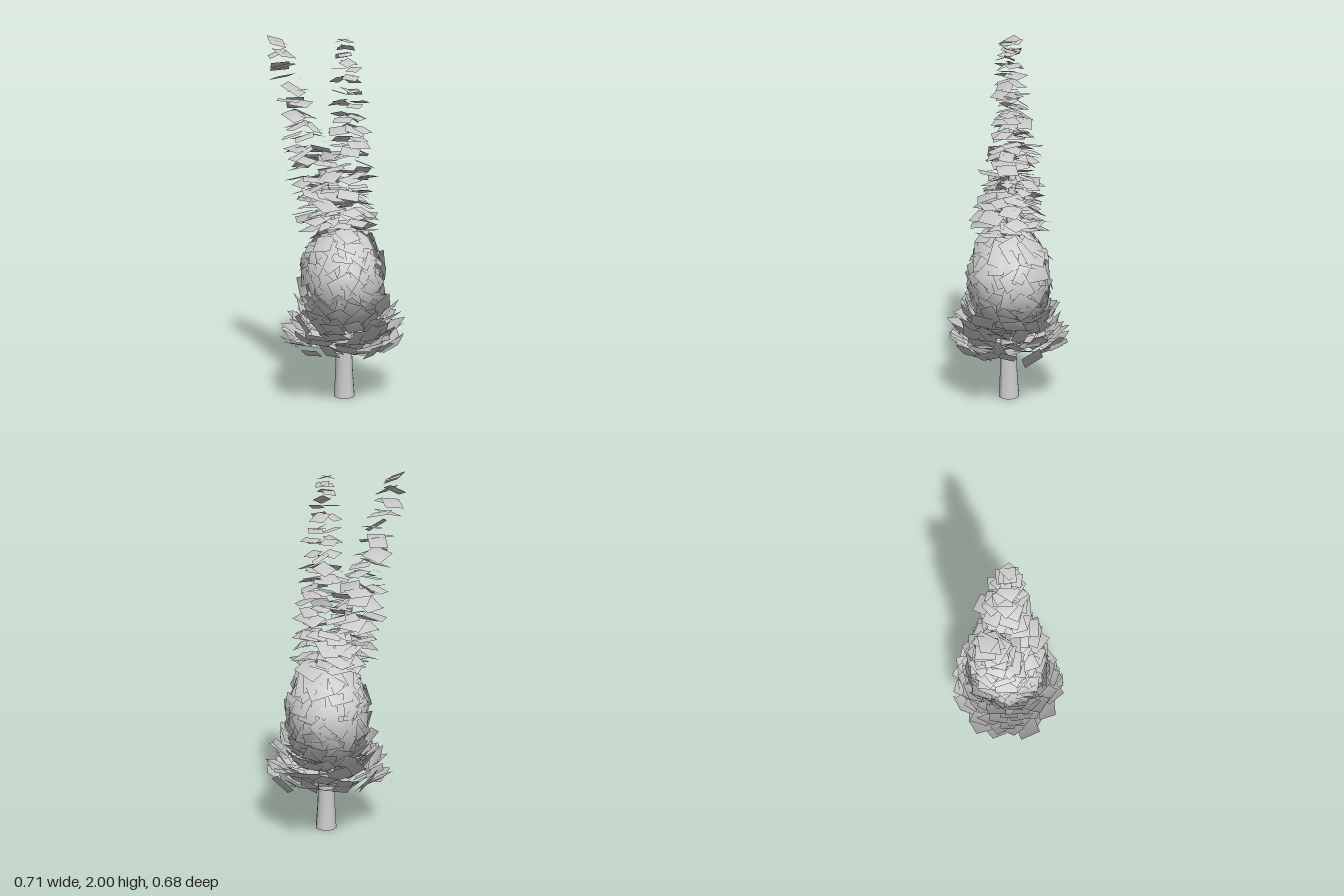
import * as THREE from 'three';
import { mergeGeometries } from 'three/addons/utils/BufferGeometryUtils.js';

const V = (x, y, z) => new THREE.Vector3(x, y, z);

export function createModel() {
  const tree = new THREE.Group();
  const bark = new THREE.MeshStandardMaterial({ color: 0xcccccc });
  const leaf = new THREE.MeshStandardMaterial({ color: 0xcccccc, side: THREE.DoubleSide });

  // Seeded random numbers
  let seed = 7;
  const rand = (a = 0, b = 1) => {
    seed = (seed * 16807) % 2147483647;
    return a + (b - a) * (seed / 2147483647);
  };

  // Tapered limb: a cylinder whose rings follow a curve and a list of radii
  function addLimb(name, points, radii) {
    const curve = new THREE.CatmullRomCurve3(points);
    const geo = new THREE.CylinderGeometry(1, 1, 1, 12, 20);
    const pos = geo.attributes.position;
    for (let i = 0; i < pos.count; i++) {
      const t = THREE.MathUtils.clamp(pos.getY(i) + 0.5, 0, 1);
      const f = t * (radii.length - 1), k = Math.min(Math.floor(f), radii.length - 2);
      const r = THREE.MathUtils.lerp(radii[k], radii[k + 1], f - k);
      const c = curve.getPoint(t);
      pos.setXYZ(i, c.x + pos.getX(i) * r, c.y, c.z + pos.getZ(i) * r);
    }
    geo.computeVertexNormals();
    const mesh = new THREE.Mesh(geo, bark);
    mesh.name = name;
    tree.add(mesh);
  }

  addLimb('trunk',
    [V(0, 0, 0), V(-0.005, 0.3, 0), V(-0.01, 0.6, -0.01), V(-0.035, 0.9, -0.05), V(-0.075, 1.28, -0.1)],
    [0.06, 0.05, 0.047, 0.044, 0.04, 0.036, 0.032, 0.027, 0.02]);

  // Square leaf card: "face" is the way it lies, its smooth normals spread from "shadeFrom"
  function card(center, face, size, shadeFrom) {
    const geo = new THREE.PlaneGeometry(size, size * rand(0.8, 1));
    const q = new THREE.Quaternion().setFromUnitVectors(V(0, 0, 1), face.clone().normalize());
    geo.rotateZ(rand(0, Math.PI * 2)).applyQuaternion(q).translate(center.x, center.y, center.z);
    const { position, normal } = geo.attributes;
    for (let i = 0; i < 4; i++) {
      const n = V().fromBufferAttribute(position, i).sub(shadeFrom).normalize();
      normal.setXYZ(i, n.x, n.y, n.z);
    }
    return geo;
  }
  function addFoliage(name, cards) {
    const mesh = new THREE.Mesh(mergeGeometries(cards), leaf);
    mesh.name = name;
    tree.add(mesh);
  }
  const jitter = (s) => V(rand(-s, s), rand(-s, s), rand(-s, s));

  // Ring of cards that rise outward like part of a bowl (tilt in degrees)
  function bowlRing(cards, count, y, radius, tiltMin, tiltMax) {
    for (let i = 0; i < count; i++) {
      const a = (i + rand(0, 0.8)) / count * Math.PI * 2 + y * 20;
      const tilt = THREE.MathUtils.degToRad(rand(tiltMin, tiltMax));
      const out = V(Math.cos(a), 0, Math.sin(a));
      const face = out.clone().multiplyScalar(-Math.sin(tilt)).add(V(0, Math.cos(tilt), 0)).add(jitter(0.25));
      const c = out.multiplyScalar(radius * rand(0.86, 1.08)).add(V(0, y + rand(-0.03, 0.025), 0));
      cards.push(card(c, face, rand(0.09, 0.13), V(0, 0.72, 0)));
    }
  }

  // Lower skirt: steepening outer rings, closed underneath by flatter inner rings
  const skirt = [];
  for (let ring = 0; ring < 7; ring++) {
    const u = ring / 6;
    bowlRing(skirt, 20 - ring, 0.33 + 0.24 * u, 0.29 - 0.08 * u, 18 + 25 * u, 48 + 25 * u);
  }
  bowlRing(skirt, 7, 0.31, 0.09, 5, 30);
  bowlRing(skirt, 10, 0.325, 0.15, 5, 35);
  bowlRing(skirt, 13, 0.34, 0.21, 10, 40);
  addFoliage('lowerFoliage', skirt);

  // Middle crown: loose cards lying on a broad-shouldered shell that reaches down into the skirt
  const crown = [];
  const N = 170;
  for (let i = 0; i < N; i++) {
    const h = 0.95 - 1.8 * (i / N), a = i * 2.39996;
    const s = Math.pow(1 - h * h, 0.4);
    const dir = V(Math.cos(a) * s, h, Math.sin(a) * s);
    const k = rand(0.88, 1.03);
    const c = V(dir.x * 0.215 * k, 0.68 + dir.y * (h > 0 ? 0.27 : 0.32) * k, dir.z * 0.22 * k - 0.01);
    const face = V(dir.x, dir.y * 0.8, dir.z).add(jitter(0.4));
    crown.push(card(c, face, rand(0.1, 0.14), V(0, 0.66, 0)));
  }
  addFoliage('middleFoliage', crown);

  // Spires: loose rings of gently tilted cards, thinning towards the tip
  function spire(name, points, radii, sizes, layers, density) {
    const curve = new THREE.CatmullRomCurve3(points);
    const cards = [];
    for (let l = 0; l < layers; l++) {
      const t = l / (layers - 1);
      const r = THREE.MathUtils.lerp(radii[0], radii[1], t);
      const axis = curve.getPoint(t);
      const count = Math.max(2, Math.round(density * (1 - t)));
      for (let i = 0; i < count; i++) {
        const a = (i + rand(0, 0.7)) / count * Math.PI * 2 + l * 2.4;
        const out = V(Math.cos(a), 0, Math.sin(a));
        const face = out.clone().multiplyScalar(0.16).add(V(0, 1, 0)).add(jitter(0.36));
        const c = axis.clone().addScaledVector(out, r * rand(0.6, 1.05));
        c.y += rand(-0.035, 0.035) * (1 - t);
        cards.push(card(c, face, THREE.MathUtils.lerp(sizes[0], sizes[1], t) * rand(0.85, 1.1),
          V(axis.x, axis.y - 0.3, axis.z)));
      }
    }
    addFoliage(name, cards);
  }
  spire('mainSpire',
    [V(-0.01, 0.97, -0.01), V(0.005, 1.2, -0.01), V(0.03, 1.5, 0), V(0.015, 1.8, 0), V(-0.01, 1.975, 0.005)],
    [0.17, 0.01], [0.125, 0.07], 19, 11);
  spire('sideSpire',
    [V(-0.06, 1.0, -0.08), V(-0.1, 1.28, -0.13), V(-0.15, 1.52, -0.18), V(-0.2, 1.75, -0.22), V(-0.25, 1.97, -0.26)],
    [0.13, 0.015], [0.125, 0.105], 15, 8);

  return tree;
}
